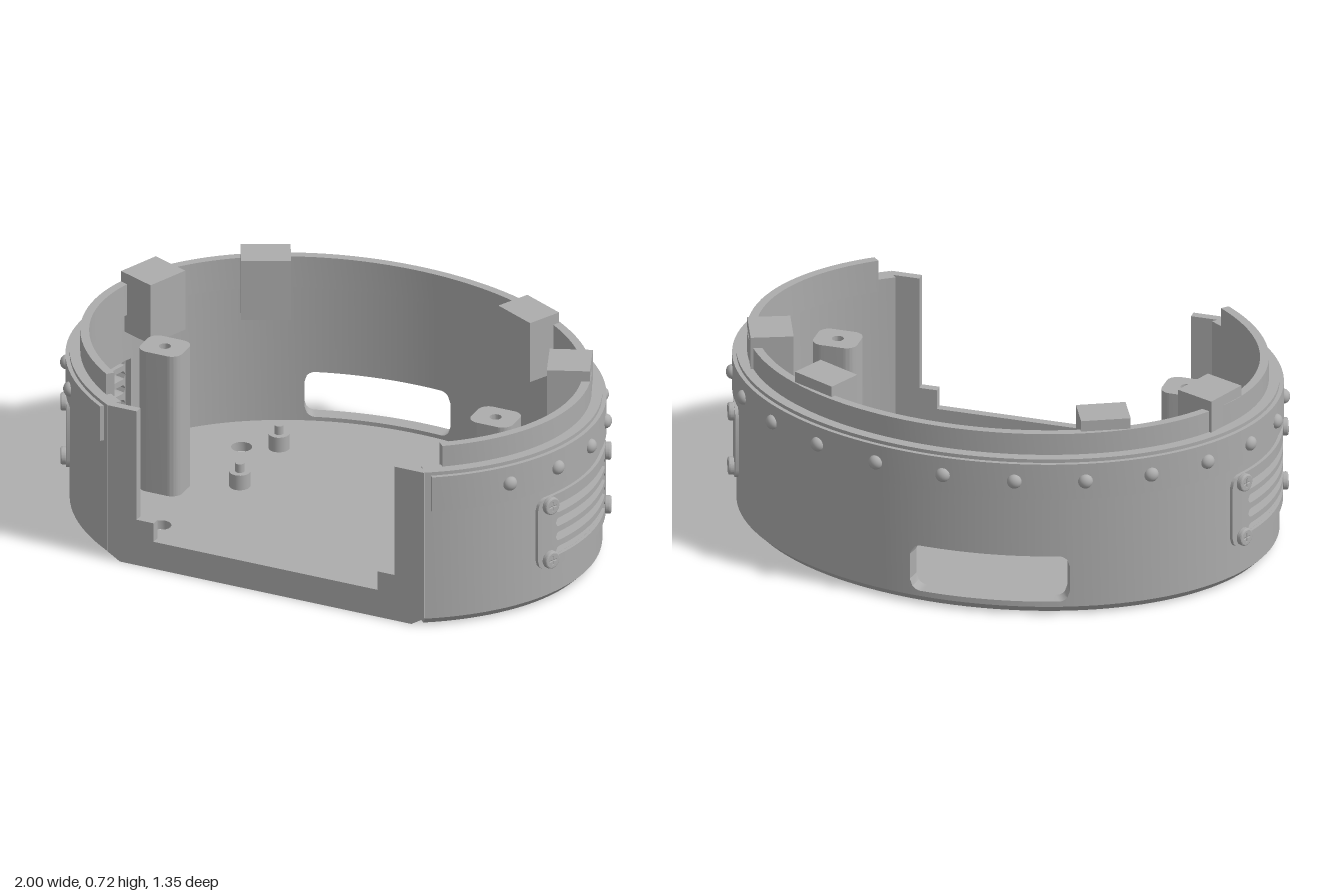
import * as THREE from 'three';
import { mergeGeometries, toCreasedNormals } from 'three/addons/utils/BufferGeometryUtils.js';

// Oval plan: angle 0 is the middle of the back, positive towards +x
const A = 0.962, B = 0.74, ZC = 0.1;
const oval = (t, off, y) => [(A + off) * Math.sin(t), y, ZC - (B + off) * Math.cos(t)];

// How far a rounded corner of radius r closes in at distance d from the end
const corner = (d, r) => (d < r ? r - Math.sqrt(Math.max(0, r * r - (r - d) ** 2)) : 0);

// Curved solid following the oval; lo and hi are heights or functions of angle
function arc(t0, t1, lo, hi, inner, outer, outerLow = outer, n = 0) {
  const val = (f, t) => (typeof f === 'function' ? f(t) : f);
  n = n || Math.max(2, Math.ceil((t1 - t0) / 0.05));
  const rings = [];
  for (let i = 0; i <= n; i++) {
    const t = t0 + ((t1 - t0) * i) / n, l = val(lo, t), h = val(hi, t);
    rings.push([oval(t, inner, l), oval(t, outerLow, l), oval(t, outer, h), oval(t, inner, h)]);
  }
  const pos = [];
  const quad = (a, b, c, d) => [a, b, c, a, c, d].forEach((p) => pos.push(...p));
  for (let i = 0; i < n; i++) {
    const p = rings[i], q = rings[i + 1];
    for (let j = 0; j < 4; j++) {
      const k = (j + 1) % 4;
      quad(p[j], p[k], q[k], q[j]);
    }
  }
  const s = rings[0], e = rings[n];
  quad(s[3], s[2], s[1], s[0]);
  quad(e[0], e[1], e[2], e[3]);
  const g = new THREE.BufferGeometry();
  g.setAttribute('position', new THREE.Float32BufferAttribute(pos, 3));
  return g;
}
const join = (list) => toCreasedNormals(mergeGeometries(list), 0.5);

function roundedRect(w, h, r) {
  const s = new THREE.Shape(), x = w / 2 - r, y = h / 2 - r;
  s.absarc(x, y, r, 0, Math.PI / 2);
  s.absarc(-x, y, r, Math.PI / 2, Math.PI);
  s.absarc(-x, -y, r, Math.PI, Math.PI * 1.5);
  s.absarc(x, -y, r, Math.PI * 1.5, Math.PI * 2);
  return s;
}
const hole = (x, y, r) => new THREE.Path().absarc(x, y, r, 0, Math.PI * 2, true);

// Extrude a plan shape (x, z) upwards from y0 to y1
function slab(shape, y0, y1) {
  const g = new THREE.ExtrudeGeometry(shape, { depth: y1 - y0, bevelEnabled: false, curveSegments: 12 });
  return toCreasedNormals(g.rotateX(Math.PI / 2).translate(0, y1, 0), 0.5);
}

export function createModel() {
  const root = new THREE.Group();
  root.name = 'ovalEnclosure';
  const grey = new THREE.MeshStandardMaterial({ color: 0xacacac });
  grey.name = 'grey plastic';
  const add = (name, geo) => {
    const m = new THREE.Mesh(geo, grey);
    m.name = name;
    root.add(m);
    return m;
  };
  // Put a part on the wall with its +z pointing outwards
  const onWall = (m, t, off, y) => {
    m.position.set(...oval(t, off, y));
    m.rotation.y = Math.atan2(Math.sin(t) / A, -Math.cos(t) / B);
  };

  // Wall with a rear window and a vent opening on each side
  const END = 2.453, V = Math.PI / 2, VH = 0.27, W0 = -0.468, W1 = 0.132, IN = -0.055;
  const winIn = (t) => corner(Math.min(t - W0, W1 - t) * 0.93, 0.04);
  const wall = [
    arc(-END, -V - VH, 0.03, 0.6, IN, 0),
    arc(-V + VH, W0, 0.03, 0.6, IN, 0),
    arc(W1, V - VH, 0.03, 0.6, IN, 0),
    arc(V + VH, END, 0.03, 0.6, IN, 0),
    arc(W0, W1, 0.03, (t) => 0.05 + winIn(t), IN, 0, 0, 60),
    arc(W0, W1, (t) => 0.225 - winIn(t), 0.6, IN, 0, 0, 60),
    arc(-END, END, 0, 0.03, IN, 0, -0.03),
  ];
  for (const c of [-V, V]) {
    wall.push(arc(c - VH, c + VH, 0.03, 0.176, IN, 0), arc(c - VH, c + VH, 0.374, 0.6, IN, 0));
  }
  add('wall', join(wall));
  add('topLip', join([arc(-2.369, 2.369, 0.56, 0.68, -0.068, -0.037)]));
  add('rivetBand', join([arc(-2.43, 2.43, 0.452, 0.587, -0.005, 0.015)]));

  // Rivets at equal angles
  for (let k = -8; k <= 8; k++) {
    const rivet = add('rivet', new THREE.SphereGeometry(0.026, 20, 14));
    rivet.scale.z = 0.85;
    onWall(rivet, (k * Math.PI) / 12, 0.015, 0.52);
  }

  // Front panel with stepped opening
  const half = [[0.56, 0], [0.608, 0.03], [0.608, 0.6], [0.495, 0.6], [0.495, 0.177], [0.43, 0.177], [0.43, 0.105]];
  const outline = [...half, ...half.map(([x, y]) => [-x, y]).reverse()];
  const panel = new THREE.Shape(outline.map(([x, y]) => new THREE.Vector2(x, y)));
  add('frontPanel', new THREE.ExtrudeGeometry(panel, { depth: 0.03, bevelEnabled: false }).translate(0, 0, 0.645));

  // Floor with four through holes
  const T = Math.PI - Math.acos(0.56 / (B - 0.05)), pts = [];
  for (let i = 0; i <= 96; i++) {
    const [x, , z] = oval(-T + (2 * T * i) / 96, -0.05, 0);
    pts.push(new THREE.Vector2(x, z));
  }
  const floor = new THREE.Shape(pts);
  for (const x of [-0.52, 0.52]) for (const z of [-0.235, 0.425]) floor.holes.push(hole(x, z, 0.037));
  add('floor', slab(floor, 0, 0.035));

  // Cross-slotted screw head
  const headShape = new THREE.Shape().absarc(0, 0, 0.027, 0, Math.PI * 2);
  const a = 0.004, b = 0.018;
  const cross = [[a, a], [b, a], [b, -a], [a, -a], [a, -b], [-a, -b], [-a, -a], [-b, -a], [-b, a], [-a, a], [-a, b], [a, b]];
  headShape.holes.push(new THREE.Path(cross.map(([x, y]) => new THREE.Vector2(x, y))));
  const head = new THREE.ExtrudeGeometry(headShape, {
    depth: 0.012, bevelThickness: 0.006, bevelSize: 0.005, bevelOffset: 0, bevelSegments: 2, curveSegments: 20,
  });
  const headBase = new THREE.CylinderGeometry(0.031, 0.031, 0.012, 24).rotateX(Math.PI / 2);

  const slots = [0.192, 0.248, 0.303, 0.357], R = 0.0165, PH = 0.376;
  for (const s of [-1, 1]) {
    // Vent grille: two end plates and five bars
    const c = s * V;
    const plateIn = (t) => corner((PH - Math.abs(t - c)) * 0.75, 0.04);
    const slotIn = (t) => corner((VH - Math.abs(t - c)) * 0.75, R);
    const lo = (t) => 0.14 + plateIn(t), hi = (t) => 0.415 - plateIn(t);
    const grille = [
      arc(c - PH, c - VH, lo, hi, -0.03, 0.012, 0.012, 16),
      arc(c + VH, c + PH, lo, hi, -0.03, 0.012, 0.012, 16),
    ];
    for (let i = 0; i <= 4; i++) {
      const from = i ? (t) => slots[i - 1] + R - slotIn(t) : 0.14;
      const to = i < 4 ? (t) => slots[i] - R + slotIn(t) : 0.415;
      grille.push(arc(c - VH, c + VH, from, to, -0.03, 0.012, 0.012, 60));
    }
    add('ventGrille', join(grille));
    for (const d of [-0.31, 0.31]) for (const y of [0.175, 0.385]) {
      onWall(add('screwHead', head), c + d, 0.014, y);
      onWall(add('screwBase', headBase), c + d, 0.012, y);
    }

    // Clip blocks along the lip: x, z, outward normal, width, depth
    for (const [x, z, nx, nz, w, d] of [[0.505, -0.4, 0.43, -0.9, 0.174, 0.13], [0.8, -0.108, 0.93, -0.37, 0.165, 0.15]]) {
      const block = add('clipBlock', new THREE.BoxGeometry(w, 0.23, d));
      block.position.set(s * x, 0.605, z);
      block.rotation.y = Math.atan2(s * nx, nz);
    }

    // Tall screw post
    const post = roundedRect(0.16, 0.135, 0.04);
    post.holes.push(hole(0, 0, 0.021));
    add('screwPost', slab(post, 0.03, 0.58)).position.set(s * 0.635, 0, 0.147);

    // Board standoffs with pins
    for (const z of [-0.285, 0.035]) {
      add('standoff', new THREE.CylinderGeometry(0.037, 0.037, 0.06, 24)).position.set(s * 0.4, 0.062, z);
      add('standoffPin', new THREE.CylinderGeometry(0.016, 0.016, 0.04, 16)).position.set(s * 0.4, 0.105, z);
    }
  }
  return root;
}
